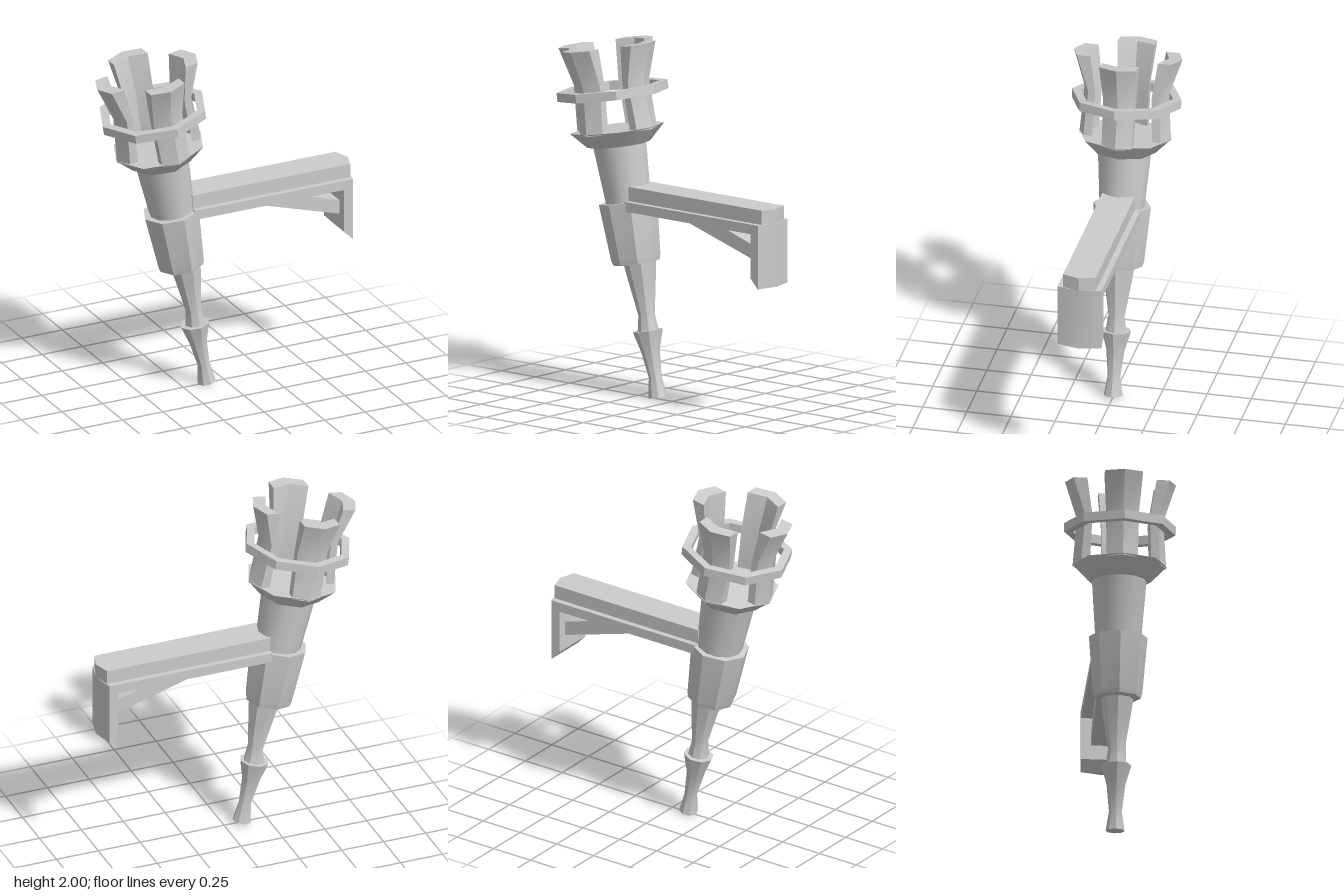
import * as THREE from 'three';
import { toCreasedNormals } from 'three/addons/utils/BufferGeometryUtils.js';

const material = new THREE.MeshStandardMaterial({ color: 0xcccccc });

function mesh(name, geometry) {
  const m = new THREE.Mesh(toCreasedNormals(geometry, 0.6), material);
  m.name = name;
  return m;
}

// Skin between equal-length cross-sections listed from bottom to top, with end caps
function loft(sections) {
  const n = sections[0].length, last = sections.length - 1;
  const points = sections.flat(), index = [];
  for (let k = 0; k < last; k++) {
    for (let i = 0; i < n; i++) {
      const a = k * n + i, b = k * n + (i + 1) % n;
      index.push(a, a + n, b, b, a + n, b + n);
    }
  }
  for (const k of [0, last]) {
    const center = sections[k].reduce((s, p) => s.add(p), new THREE.Vector3()).divideScalar(n);
    const c = points.push(center) - 1;
    for (let i = 0; i < n; i++) {
      const a = k * n + i, b = k * n + (i + 1) % n;
      index.push(c, ...(k === 0 ? [a, b] : [b, a]));
    }
  }
  const g = new THREE.BufferGeometry().setFromPoints(points);
  g.setIndex(index);
  return g;
}

// Regular polygon at (x, y), leaning by the tilt angle
function polygon(x, y, r, sides, tilt) {
  return Array.from({ length: sides }, (_, i) => {
    const a = i / sides * Math.PI * 2, u = r * Math.cos(a);
    return new THREE.Vector3(x + u * Math.cos(tilt), y + u * Math.sin(tilt), r * Math.sin(a));
  });
}

const tapered = (name, stations, sides, tilt = 0.18) =>
  mesh(name, loft(stations.map(([x, y, r]) => polygon(x, y, r, sides, tilt))));

function box(name, x0, x1, y0, y1, halfZ) {
  const g = new THREE.BoxGeometry(x1 - x0, y1 - y0, halfZ * 2);
  return mesh(name, g.translate((x0 + x1) / 2, (y0 + y1) / 2, 0));
}

// Side profile in x and y, given depth across z
function slab(name, outline, halfZ) {
  const shape = new THREE.Shape(outline.map(([x, y]) => new THREE.Vector2(x, y)));
  const g = new THREE.ExtrudeGeometry(shape, { depth: halfZ * 2, bevelEnabled: false });
  return mesh(name, g.translate(0, 0, -halfZ));
}

export function createModel() {
  const model = new THREE.Group();
  model.name = 'wallTorch';

  // Leaning torch shaft
  model.add(
    tapered('tip', [[-0.107, 0.02, 0.053], [-0.125, 0.13, 0.036], [-0.16, 0.275, 0.052], [-0.18, 0.388, 0.084]], 8),
    tapered('lowerShaft', [[-0.176, 0.38, 0.06], [-0.188, 0.475, 0.046], [-0.225, 0.69, 0.08], [-0.245, 0.8, 0.095]], 8),
    tapered('upperShaft', [[-0.26, 0.8, 0.11], [-0.322, 1.1, 0.128], [-0.387, 1.42, 0.152]], 12),
    tapered('holder', [[-0.263, 0.76, 0.13], [-0.268, 0.79, 0.138], [-0.325, 1.1, 0.163]], 8),
  );

  // Head: cup, ring and four prongs around one tilted axis
  const head = new THREE.Group();
  head.name = 'head';
  head.position.set(-0.405, 1.5, 0);
  head.rotation.z = 0.157;
  head.add(tapered('cup', [[0, -0.09, 0.175], [0, 0, 0.263]], 8, 0));

  const ringShape = new THREE.Shape();
  const ringHole = new THREE.Path();
  for (const [path, r] of [[ringShape, 0.31], [ringHole, 0.262]]) {
    path.setFromPoints(polygon(0, 0, r, 8, 0).map(p => new THREE.Vector2(p.x, p.z)));
  }
  ringShape.holes.push(ringHole);
  const ring = new THREE.ExtrudeGeometry(ringShape, { depth: 0.05, bevelEnabled: false });
  head.add(mesh('ring', ring.rotateX(-Math.PI / 2).translate(0, 0.185, 0)));

  // Each prong has a chevron section: height, inner radius, outer radius, half width
  const prongSections = [[-0.01, 0.21, 0.26, 0.085], [0.26, 0.2, 0.24, 0.09], [0.47, 0.232, 0.308, 0.105]]
    .map(([y, r0, r1, w]) => [
      [r1 - 0.04, -w], [r1, 0], [r1 - 0.04, w], [r0 - 0.04, w], [r0, 0], [r0 - 0.04, -w],
    ].map(([x, z]) => new THREE.Vector3(x, y, z)));
  for (let i = 0; i < 4; i++) {
    const prong = mesh('prong', loft(prongSections));
    prong.rotation.y = i * Math.PI / 2;
    head.add(prong);
  }
  model.add(head);

  // Horizontal arm with a narrower top rail
  model.add(
    box('armBase', -0.24, 0.7, 1.07, 1.125, 0.125),
    box('armRail', -0.24, 0.7, 1.125, 1.205, 0.093),
    slab('brace', [[0.12, 1.075], [0.68, 0.905], [0.7, 0.905], [0.7, 0.98], [0.4, 1.075]], 0.07),
  );

  // Wall plate with a pointed outer face and chamfered foot
  const plateSection = (y, x0, w) =>
    [[x0, -w], [0.735, -w], [0.765, 0], [0.735, w], [x0, w]].map(([x, z]) => new THREE.Vector3(x, y, z));
  model.add(mesh('wallPlate', loft([
    plateSection(0.765, 0.733, 0.125), plateSection(0.82, 0.68, 0.125), plateSection(1.125, 0.68, 0.125),
  ])));
  model.add(mesh('wallPlateTop', loft([plateSection(1.125, 0.68, 0.093), plateSection(1.205, 0.68, 0.093)])));

  return model;
}
